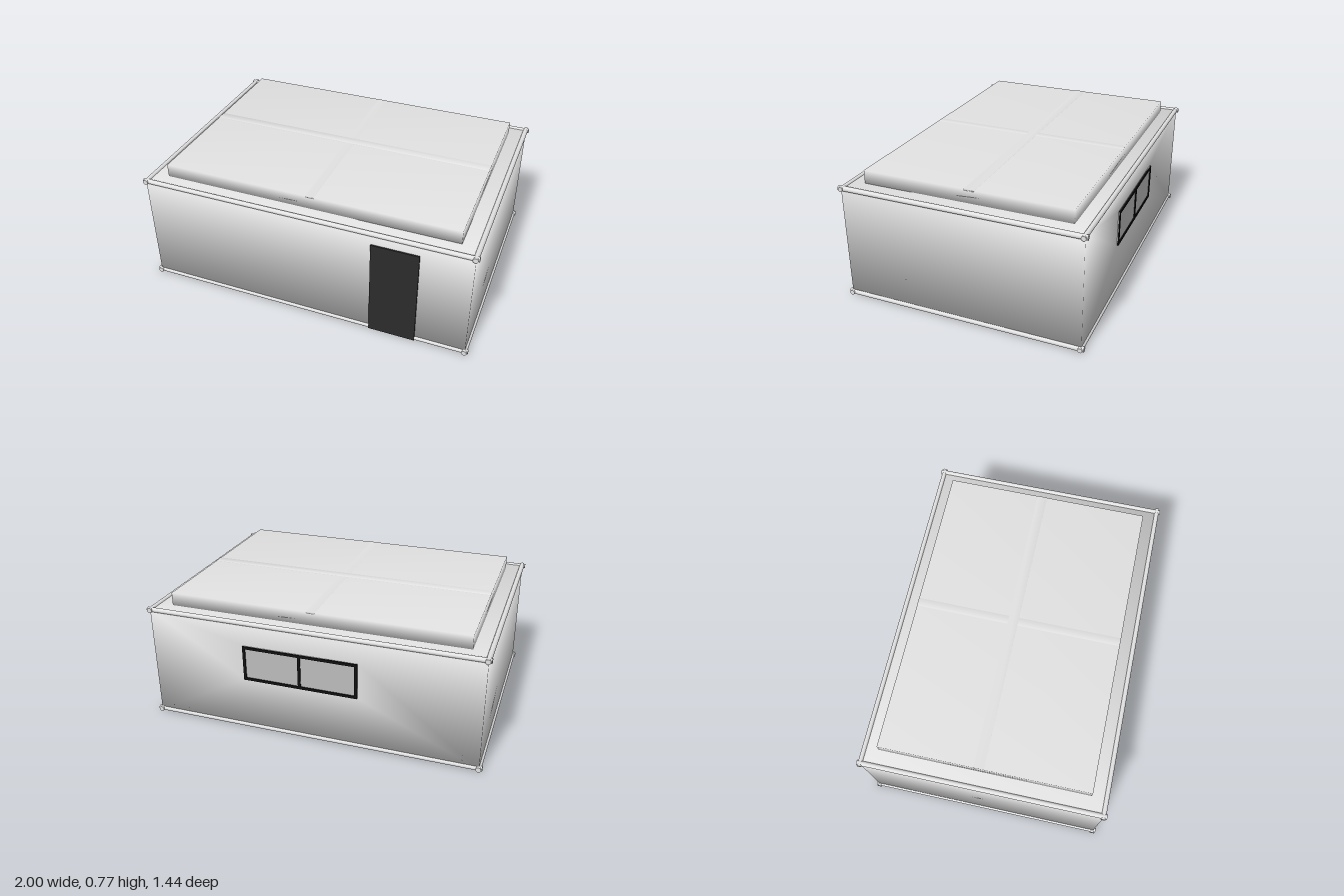
import * as THREE from 'three';
import { mergeVertices } from 'three/addons/utils/BufferGeometryUtils.js';

const paint = (name, color) => {
  const m = new THREE.MeshStandardMaterial({ color });
  m.name = name;
  return m;
};

// Box whose normals are averaged across its edges
function softBox(w, h, d) {
  const g = new THREE.BoxGeometry(w, h, d);
  g.deleteAttribute('normal');
  g.deleteAttribute('uv');
  const soft = mergeVertices(g);
  soft.computeVertexNormals();
  return soft;
}

// Closed softly shaded shell; the back wall is divided around the window
function shellGeometry(x, y0, y1, z, win) {
  const pos = [];
  for (const zz of [z, -z]) pos.push(-x, y0, zz, x, y0, zz, x, y1, zz, -x, y1, zz);
  const { left, right, bottom, top } = win;
  pos.push(left, bottom, -z, right, bottom, -z, right, top, -z, left, top, -z);
  const quads = [
    [0, 1, 2, 3], [1, 5, 6, 2], [4, 0, 3, 7], [3, 2, 6, 7], [4, 5, 1, 0], [9, 8, 11, 10],
  ];
  for (let i = 0; i < 4; i++) {
    const j = (i + 1) % 4;
    quads.push([4 + j, 4 + i, 8 + i, 8 + j]);
  }
  const g = new THREE.BufferGeometry();
  g.setAttribute('position', new THREE.Float32BufferAttribute(pos, 3));
  g.setIndex(quads.flatMap(([a, b, c, d]) => [a, b, c, a, c, d]));
  g.computeVertexNormals();
  return g;
}

export function createModel() {
  const model = new THREE.Group();
  model.name = 'cabin';
  const wall = paint('light grey', 0xe2e2e2);
  const dark = paint('charcoal', 0x2c2c2c);
  const frameMat = paint('black', 0x101010);
  const glass = paint('window grey', 0xbcbcbc);

  const add = (name, geo, mat, x = 0, y = 0, z = 0, parent = model) => {
    const m = new THREE.Mesh(geo, mat);
    m.name = name;
    m.position.set(x, y, z);
    parent.add(m);
    return m;
  };

  // Walls and floor
  const win = { left: -0.285, right: 0.4, bottom: 0.33, top: 0.545 };
  add('walls', shellGeometry(0.983, 0.01, 0.69, 0.705, win), wall);

  // Raised flat roof with two barely proud battens
  add('roofSlab', softBox(1.77, 0.085, 1.23), wall, 0, 0.7255, 0);
  add('longRoofBatten', softBox(1.77, 0.012, 0.06), wall, 0, 0.7645, -0.03);
  add('crossRoofBatten', softBox(0.05, 0.01, 1.23), wall, 0.02, 0.764, 0);

  // Round rails along the top and bottom edges, overlapping at the corners
  const longRail = new THREE.CylinderGeometry(0.014, 0.014, 2, 16).rotateZ(Math.PI / 2);
  const sideRail = new THREE.CylinderGeometry(0.015, 0.015, 1.44, 16).rotateX(Math.PI / 2);
  for (const [level, y] of [['lower', 0.019], ['upper', 0.685]]) {
    for (const s of [-1, 1]) {
      add(level + (s > 0 ? 'FrontRail' : 'BackRail'), longRail, wall, 0, y, s * 0.7);
      add(level + (s > 0 ? 'LeftRail' : 'RightRail'), sideRail, wall, s * 0.98, y, 0);
    }
  }

  // Door
  add('door', new THREE.BoxGeometry(0.275, 0.612, 0.009), dark, 0.552, 0.314, 0.7115);

  // Two-pane window on the back wall
  const windowGroup = new THREE.Group();
  windowGroup.name = 'backWindow';
  model.add(windowGroup);
  const w = win.right - win.left, h = win.top - win.bottom, bar = 0.016;
  const cx = (win.left + win.right) / 2, cy = (win.top + win.bottom) / 2;
  for (const s of [-1, 1]) {
    add('windowPane', new THREE.BoxGeometry(w / 2, h, 0.006), glass, cx + s * w / 4, cy, -0.706, windowGroup);
    add('frameRail', new THREE.BoxGeometry(w, bar, 0.009), frameMat, cx, cy + s * (h - bar) / 2, -0.7105, windowGroup);
  }
  for (const s of [-1, 0, 1])
    add('frameUpright', new THREE.BoxGeometry(bar, h, 0.009), frameMat, cx + s * (w - bar) / 2, cy, -0.7105, windowGroup);

  return model;
}
